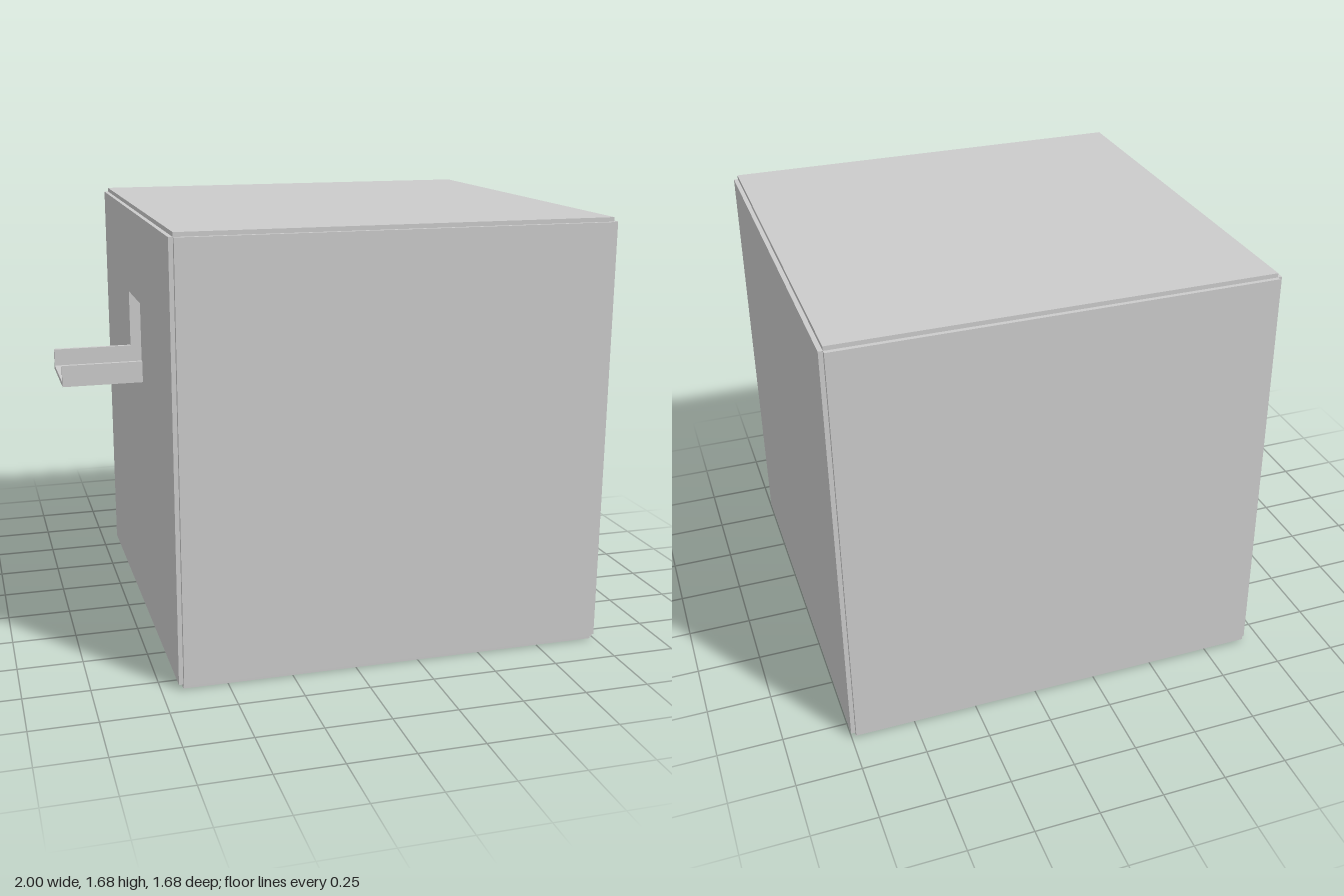
import * as THREE from 'three';

const T = 0.0165;        // sheet thickness
const S = 1.652;         // panel side
const OUT = S / 2 + T;   // centre to outer panel face
const CX = 1 - OUT;      // cabinet centre in x
const CY = OUT;          // cabinet centre in y
const HOLE = 0.297;      // clear width and height of the opening
const FLOOR = 1.027;     // top of the chute floor

const material = new THREE.MeshStandardMaterial({ color: 0xcccccc });

function box(parent, name, x0, x1, y0, y1, z0, z1) {
  const mesh = new THREE.Mesh(new THREE.BoxGeometry(x1 - x0, y1 - y0, z1 - z0), material);
  mesh.position.set((x0 + x1) / 2, (y0 + y1) / 2, (z0 + z1) / 2);
  mesh.name = name;
  parent.add(mesh);
}

// Square sheet with a square opening, set on the -x side
function openPanel() {
  const h = S / 2, w = HOLE / 2;
  const rect = (Path, x0, y0, x1, y1) => new Path([[x0, y0], [x1, y0], [x1, y1], [x0, y1]]
    .map(([x, y]) => new THREE.Vector2(x, y)));
  const shape = rect(THREE.Shape, -h, -h, h, h);
  shape.holes.push(rect(THREE.Path, -w, FLOOR - CY, w, FLOOR + HOLE - CY));
  const geometry = new THREE.ExtrudeGeometry(shape, { depth: T, bevelEnabled: false });
  const mesh = new THREE.Mesh(geometry, material);
  mesh.rotation.y = -Math.PI / 2;
  mesh.position.set(CX - S / 2, CY, 0);
  mesh.name = 'openSidePanel';
  return mesh;
}

export function createModel() {
  const model = new THREE.Group();

  // Hollow cabinet of six separate sheets that meet along their inner edges
  const cabinet = new THREE.Group();
  cabinet.name = 'cabinet';
  const h = S / 2, x0 = CX - h, x1 = CX + h, y0 = CY - h, y1 = CY + h;
  box(cabinet, 'topPanel', x0, x1, y1, y1 + T, -h, h);
  box(cabinet, 'bottomPanel', x0, x1, 0, T, -h, h);
  box(cabinet, 'frontPanel', x0, x1, y0, y1, h, h + T);
  box(cabinet, 'backPanel', x0, x1, y0, y1, -h - T, -h);
  box(cabinet, 'closedSidePanel', x1, x1 + T, y0, y1, -h, h);
  cabinet.add(openPanel());
  model.add(cabinet);

  // Shallow tray outside, continued as a square duct inside
  const chute = new THREE.Group();
  chute.name = 'chute';
  const w = HOLE / 2, face = CX - OUT, inner = x0 + 0.3, roof = FLOOR + HOLE;
  box(chute, 'trayFloor', -1, face, FLOOR - T, FLOOR, -w - T, w + T);
  box(chute, 'ductFloor', x0, inner, FLOOR - T, FLOOR, -w - T, w + T);
  box(chute, 'ductRoof', x0, inner, roof, roof + T, -w - T, w + T);
  for (const side of [-1, 1]) {
    const z = side * (w + T / 2);
    box(chute, 'trayWall', -1, face, FLOOR, 1.095, z - T / 2, z + T / 2);
    box(chute, 'ductWall', x0, inner, FLOOR, roof, z - T / 2, z + T / 2);
  }
  model.add(chute);
  return model;
}
